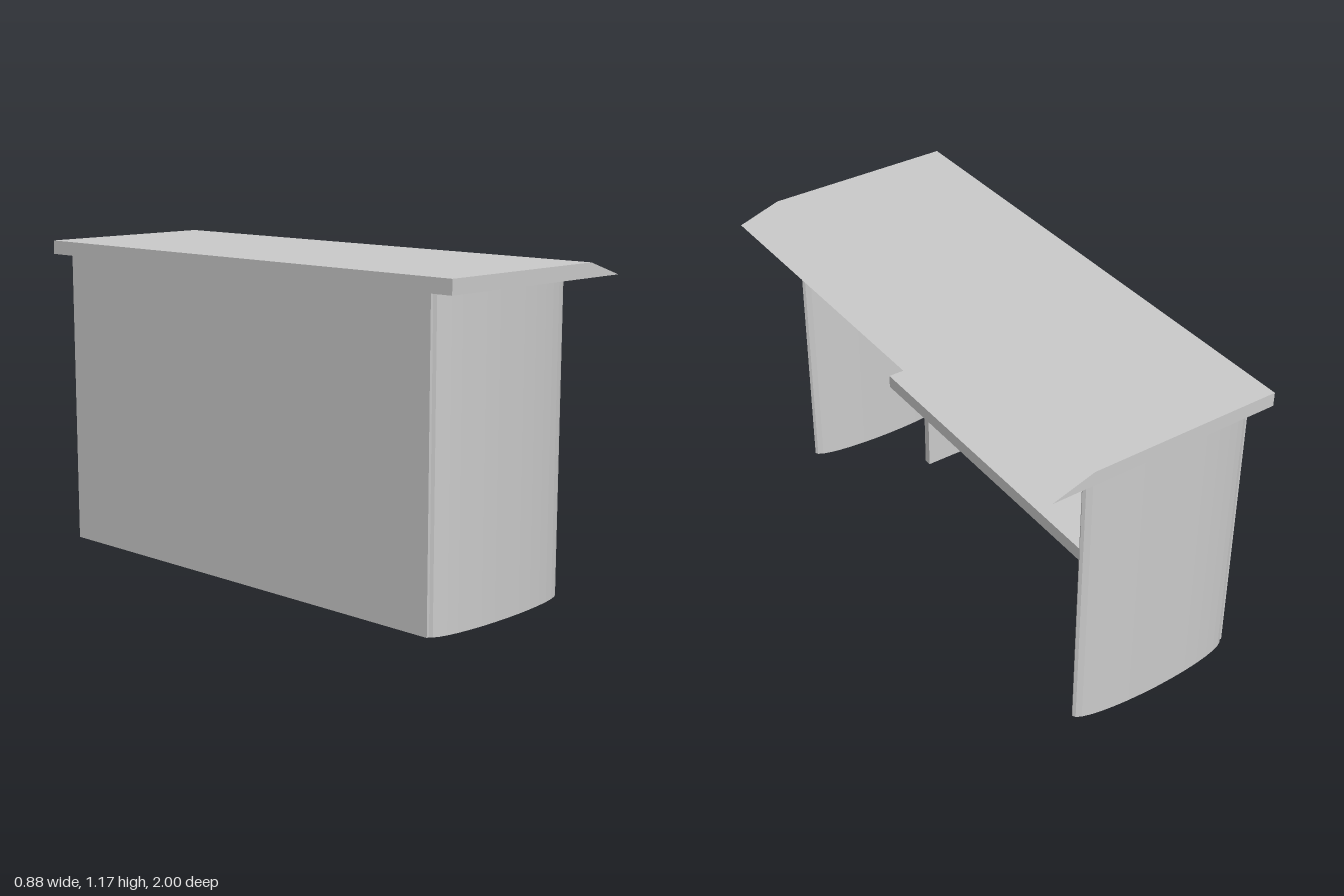
import * as THREE from 'three';

export function createModel() {
  const group = new THREE.Group();
  const mat = new THREE.MeshStandardMaterial({ color: 0xcccccc, flatShading: true });

  const add = (name, geometry, x = 0, y = 0, z = 0) => {
    const mesh = new THREE.Mesh(geometry, mat);
    mesh.name = name;
    mesh.position.set(x, y, z);
    group.add(mesh);
    return mesh;
  };

  // Box given by its limits on each axis
  const box = (name, x0, x1, y0, y1, z0, z1) =>
    add(name, new THREE.BoxGeometry(x1 - x0, y1 - y0, z1 - z0),
      (x0 + x1) / 2, (y0 + y1) / 2, (z0 + z1) / 2);

  const wallHeight = 1.115;

  // Roof slab with a front edge tapering to a thin lip
  const profile = new THREE.Shape([
    [-0.445, wallHeight], [0.44, wallHeight], [0.28, 1.167], [-0.445, 1.167],
  ].map(([x, y]) => new THREE.Vector2(x, y)));
  add('roof', new THREE.ExtrudeGeometry(profile, { depth: 2, bevelEnabled: false }), 0, 0, -1);

  // Thin back wall
  box('backWall', -0.431, -0.415, 0, wallHeight, -0.903, 0.903);

  // Elliptical side walls and bench legs, mirrored
  for (const [side, s] of [['left', -1], ['right', 1]]) {
    const wall = new THREE.CylinderGeometry(1, 1, wallHeight, 32);
    wall.scale(0.335, 1, 0.055);
    add(side + 'SideWall', wall, -0.085, wallHeight / 2, s * 0.903);
    const z = s * 0.585;
    box(side + 'BenchLeg', -0.345, -0.105, 0, 0.252, z - 0.015, z + 0.015);
  }

  // Bench seat
  box('benchSeat', -0.365, -0.083, 0.25, 0.305, -0.833, 0.833);

  return group;
}
